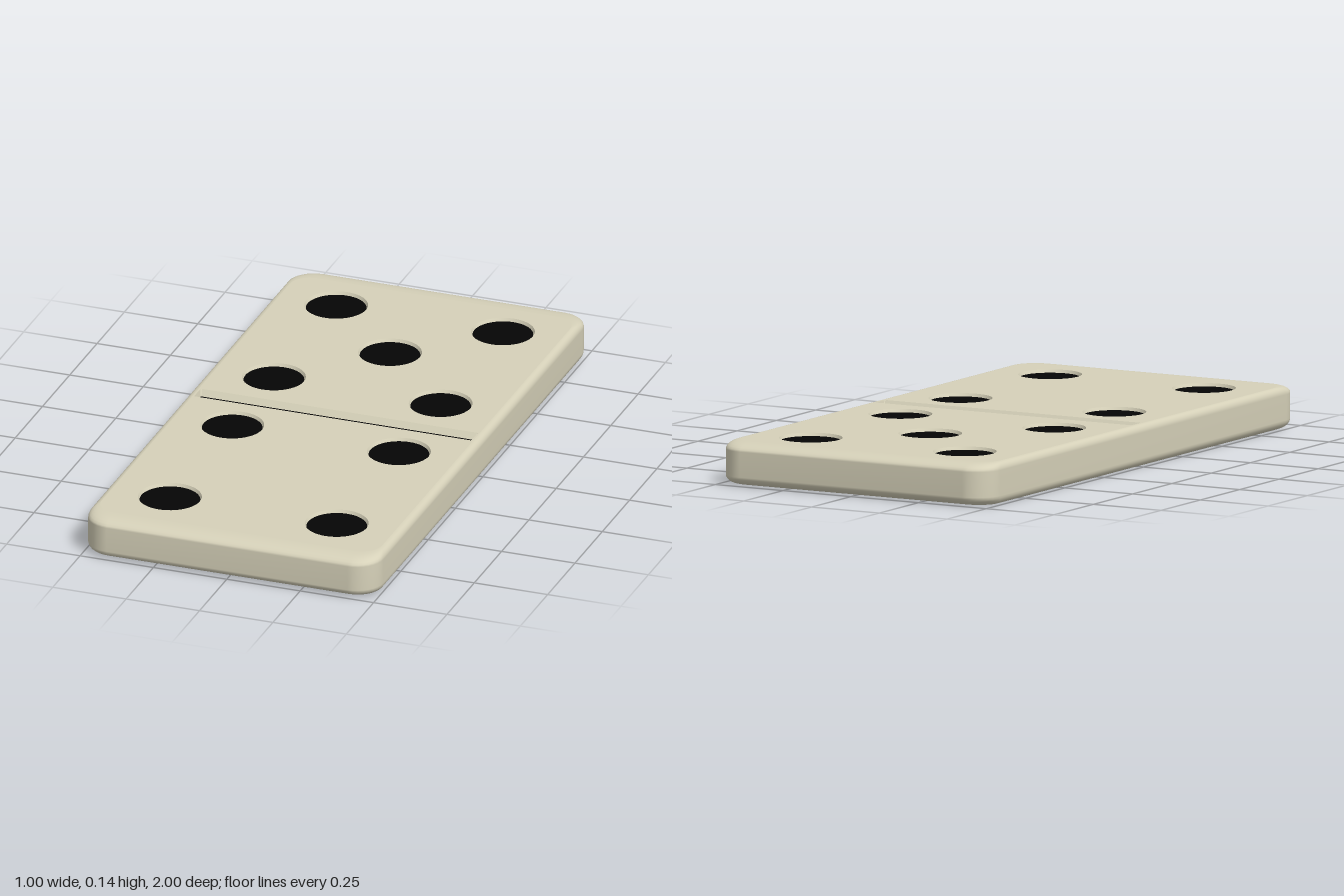
import * as THREE from 'three';

const H = 0.137;

// Rounded rectangle loop of [x, z] points
function outline(hx, hz, r, steps = 8) {
  const pts = [];
  [[1, 1], [-1, 1], [-1, -1], [1, -1]].forEach(([sx, sz], q) => {
    for (let i = 0; i <= steps; i++) {
      const a = (q + i / steps) * Math.PI / 2;
      pts.push([sx * (hx - r) + r * Math.cos(a), sz * (hz - r) + r * Math.sin(a)]);
    }
  });
  return pts;
}

// Skin a stack of loops; listing them bottom to top faces outwards
function loft(rings) {
  const n = rings[0].pts.length, pos = [], idx = [];
  rings.forEach(({ y, pts }) => pts.forEach(([x, z]) => pos.push(x, y, z)));
  for (let k = 0; k < rings.length - 1; k++) {
    for (let i = 0; i < n; i++) {
      const a = k * n + i, b = k * n + (i + 1) % n;
      idx.push(a, a + n, b, b, a + n, b + n);
    }
  }
  const g = new THREE.BufferGeometry();
  g.setAttribute('position', new THREE.Float32BufferAttribute(pos, 3));
  g.setIndex(idx);
  g.computeVertexNormals();
  return g;
}

const toShape = pts => new THREE.Shape(pts.map(([x, z]) => new THREE.Vector2(x, -z)));

export function createModel() {
  const group = new THREE.Group();
  const ivory = new THREE.MeshStandardMaterial({ color: 0xd6d1b9 });
  const ivoryWall = new THREE.MeshStandardMaterial({ color: 0xd6d1b9, side: THREE.DoubleSide });
  const ivoryFlat = new THREE.MeshStandardMaterial({ color: 0xd6d1b9, flatShading: true, side: THREE.DoubleSide });
  const black = new THREE.MeshStandardMaterial({ color: 0x050505 });
  const add = (name, geo, mat, parent = group) => {
    const m = new THREE.Mesh(geo, mat);
    m.name = name;
    parent.add(m);
    return m;
  };

  // Rounded sides: softer along the short ends than along the long sides
  const rings = [], N = 6;
  const ring = (y, ix, iz) => rings.push({ y, pts: outline(0.5 - ix, 1 - iz, 0.09 - ix) });
  for (let i = 0; i <= N; i++) {
    const a = i / N * Math.PI / 2, k = 1 - Math.sin(a);
    ring(0.03 * (1 - Math.cos(a)), 0.03 * k, 0.055 * k);
  }
  for (let i = 0; i <= N; i++) {
    const a = i / N * Math.PI / 2, k = 1 - Math.cos(a);
    ring(H - 0.025 * (1 - Math.sin(a)), 0.022 * k, 0.07 * k);
  }
  add('tileSides', loft(rings), ivory);
  add('tileBottom', new THREE.ShapeGeometry(toShape(rings[0].pts)).rotateX(Math.PI / 2), ivory);

  // Top face with openings for the pips and the dividing groove
  const pips = [[0, -0.495]];
  for (const z of [-0.765, -0.195, 0.187, 0.757]) for (const x of [-0.284, 0.284]) pips.push([x, z]);
  const R = 0.102;
  const face = toShape(rings[rings.length - 1].pts);
  for (const [x, z] of pips) {
    face.holes.push(new THREE.Path().absarc(x, -z, R, 0, Math.PI * 2, true));
  }
  const grooveRim = outline(0.472, 0.03, 0.002, 1);
  face.holes.push(toShape(grooveRim));
  add('tileTop', new THREE.ShapeGeometry(face, 24).rotateX(-Math.PI / 2).translate(0, H, 0), ivory);

  // Dividing groove: sloped walls and black floor
  const grooveFloor = outline(0.467, 0.016, 0.002, 1), grooveY = H - 0.02;
  add('grooveWalls', loft([{ y: H, pts: grooveRim }, { y: grooveY, pts: grooveFloor }]), ivoryFlat);
  add('grooveFloor', new THREE.ShapeGeometry(toShape(grooveFloor)).rotateX(-Math.PI / 2).translate(0, grooveY, 0), black);

  // Pips: shallow wells with black floors
  const depth = 0.01, r = 0.097;
  const wall = new THREE.LatheGeometry([new THREE.Vector2(r, -depth), new THREE.Vector2(R, 0)], 48);
  const floor = new THREE.CircleGeometry(r, 48).rotateX(-Math.PI / 2).translate(0, -depth, 0);
  for (const [x, z] of pips) {
    const pip = new THREE.Group();
    pip.name = 'pip';
    pip.position.set(x, H, z);
    add('pipWall', wall, ivoryWall, pip);
    add('pipFloor', floor, black, pip);
    group.add(pip);
  }
  return group;
}
